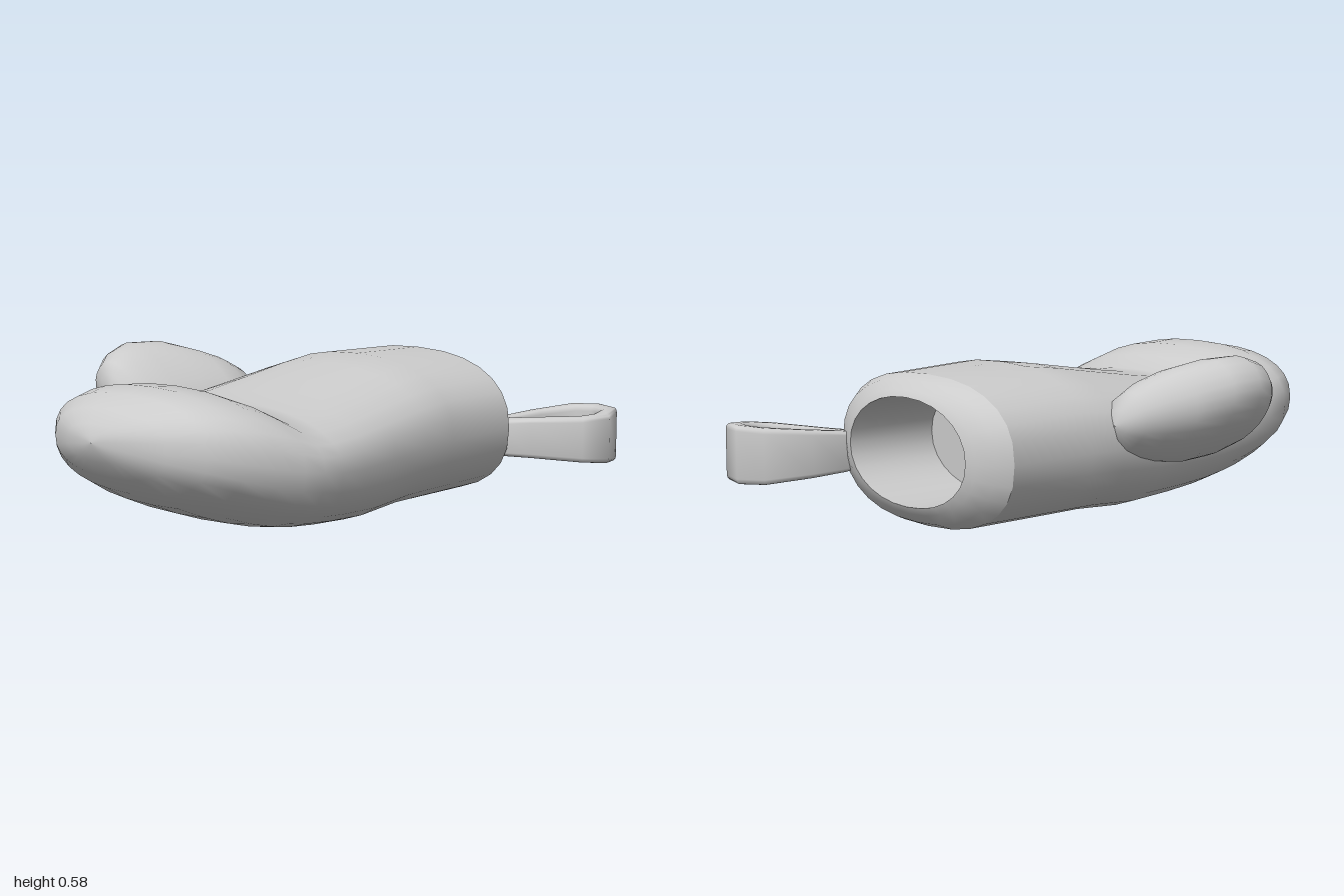
import * as THREE from 'three';
import { toCreasedNormals } from 'three/addons/utils/BufferGeometryUtils.js';

const material = new THREE.MeshStandardMaterial({ color: 0xcccccc });
const SIDES = 28;

// Unit superellipse as [cos, sin] pairs
function oval(power) {
  const bulge = (v) => Math.sign(v) * Math.abs(v) ** (2 / power);
  return Array.from({ length: SIDES }, (_, i) => {
    const t = (i / SIDES) * Math.PI * 2;
    return [bulge(Math.cos(t)), bulge(Math.sin(t))];
  });
}

// Ring of half-size a by b around (cx, cy), tilted by an angle
function tiltedRing(z, cx, cy, a, b, power, tilt) {
  const c = Math.cos(tilt), s = Math.sin(tilt);
  return oval(power).map(([u, v]) => [cx + u * a * c - v * b * s, cy + u * a * s + v * b * c, z]);
}

// Ring given by its extents, widest at height mid
function boxRing(z, x0, x1, y0, y1, mid = (y0 + y1) / 2, power = 2.4) {
  return oval(power).map(([u, v]) => [
    (x0 + x1) / 2 + (u * (x1 - x0)) / 2,
    mid + v * (v > 0 ? y1 - mid : mid - y0),
    z,
  ]);
}

// Smooth skin across a list of rings
function loft(name, rings) {
  const index = [];
  for (let i = 0; i < rings.length - 1; i++) {
    for (let j = 0; j < SIDES; j++) {
      const k = (j + 1) % SIDES;
      const a = i * SIDES + j, b = i * SIDES + k;
      index.push(a, b, b + SIDES, a, b + SIDES, a + SIDES);
    }
  }
  const geometry = new THREE.BufferGeometry();
  geometry.setAttribute('position', new THREE.Float32BufferAttribute(rings.flat(2), 3));
  geometry.setIndex(index);
  geometry.computeVertexNormals();
  const mesh = new THREE.Mesh(geometry, material);
  mesh.name = name;
  return mesh;
}

export function createModel() {
  const group = new THREE.Group();
  group.name = 'mitten';

  // Hand: z, right/left and bottom/top extents, widest height, from wrist to fingertips
  const hand = [
    [-0.6, -0.42, 0.46, 0.015, 0.54, 0.28], [-0.25, -0.43, 0.49, 0.015, 0.55, 0.28],
    [-0.1, -0.43, 0.503, 0.015, 0.53, 0.275], [0.1, -0.43, 0.532, 0.002, 0.497, 0.265],
    [0.28, -0.43, 0.56, 0.015, 0.468, 0.26], [0.41, -0.43, 0.575, 0.028, 0.45, 0.265],
    [0.49, -0.43, 0.573, 0.042, 0.448, 0.275], [0.57, -0.427, 0.56, 0.062, 0.492, 0.285],
    [0.67, -0.418, 0.53, 0.095, 0.53, 0.305], [0.78, -0.387, 0.485, 0.14, 0.538, 0.33],
    [0.87, -0.335, 0.41, 0.19, 0.52, 0.35], [0.94, -0.25, 0.3, 0.25, 0.478, 0.36],
    [0.98, -0.14, 0.17, 0.305, 0.43, 0.37], [0.996, -0.05, 0.06, 0.345, 0.395, 0.37],
    [1.0, -0.001, 0.001, 0.369, 0.371, 0.37],
  ];
  group.add(loft('hand', hand.map((h) => boxRing(...h))));

  // Rounded cuff edge, hollow wrist opening and its inner end
  const hole = [-0.29, 0.315, 0.095, 0.47, 0.28, 2.1];
  group.add(loft('cuffRim', [
    boxRing(-0.7, ...hole),
    boxRing(-0.687, -0.325, 0.35, 0.07, 0.492, 0.28, 2.2),
    boxRing(-0.65, -0.385, 0.418, 0.035, 0.523, 0.28, 2.3),
    boxRing(-0.6, -0.42, 0.46, 0.015, 0.54, 0.28),
  ]));
  group.add(loft('wristOpening', [boxRing(-0.33, ...hole), boxRing(-0.7, ...hole)]));
  group.add(loft('openingEnd', [
    boxRing(-0.33, 0.011, 0.013, 0.279, 0.281), boxRing(-0.33, ...hole),
  ]));

  // Thumb: z, centre and half-sizes of tilted ovals
  const thumb = [
    [-0.14, -0.42, 0.36, 0.002, 0.002], [-0.13, -0.42, 0.362, 0.06, 0.045],
    [-0.09, -0.423, 0.37, 0.115, 0.09], [-0.02, -0.433, 0.375, 0.155, 0.12],
    [0.06, -0.45, 0.38, 0.19, 0.137], [0.16, -0.495, 0.39, 0.23, 0.143],
    [0.28, -0.507, 0.395, 0.232, 0.137], [0.36, -0.52, 0.4, 0.19, 0.122],
    [0.42, -0.515, 0.41, 0.138, 0.095], [0.45, -0.505, 0.42, 0.08, 0.055],
    [0.46, -0.5, 0.42, 0.002, 0.002],
  ];
  group.add(loft('thumb', thumb.map((t) => tiltedRing(...t, 2.2, 2.45))));

  // Hanging loop: teardrop strap, widening away from the cuff
  const outer = [[0.36, 0.6], [0.36, 0.68], [0.395, 0.8], [0.47, 0.955], [0.57, 1.0],
    [0.665, 0.975], [0.71, 0.87], [0.665, 0.77], [0.5, 0.67], [0.42, 0.6]];
  const inner = [[0.62, 0.805], [0.645, 0.85], [0.632, 0.915], [0.575, 0.938],
    [0.52, 0.92], [0.45, 0.8], [0.405, 0.66]];
  const toPoints = (list) => list.map(([x, y]) => new THREE.Vector2(x, y));
  const shape = new THREE.Shape(toPoints(outer));
  shape.holes.push(new THREE.Path(toPoints(inner)));
  const strap = new THREE.ExtrudeGeometry(shape, {
    depth: 1.6, bevelThickness: 0.2, bevelSize: 0.016, bevelOffset: -0.016, bevelSegments: 3,
  });
  strap.translate(0, 0, -0.8).rotateX(-Math.PI / 2);
  const position = strap.attributes.position;
  for (let i = 0; i < position.count; i++) {
    const half = 0.065 + 0.1 * (-position.getZ(i) - 0.6);
    position.setY(i, 0.238 + position.getY(i) * half);
  }
  const loop = new THREE.Mesh(toCreasedNormals(strap, 1.1), material);
  loop.name = 'hangingLoop';
  group.add(loop);

  return group;
}
